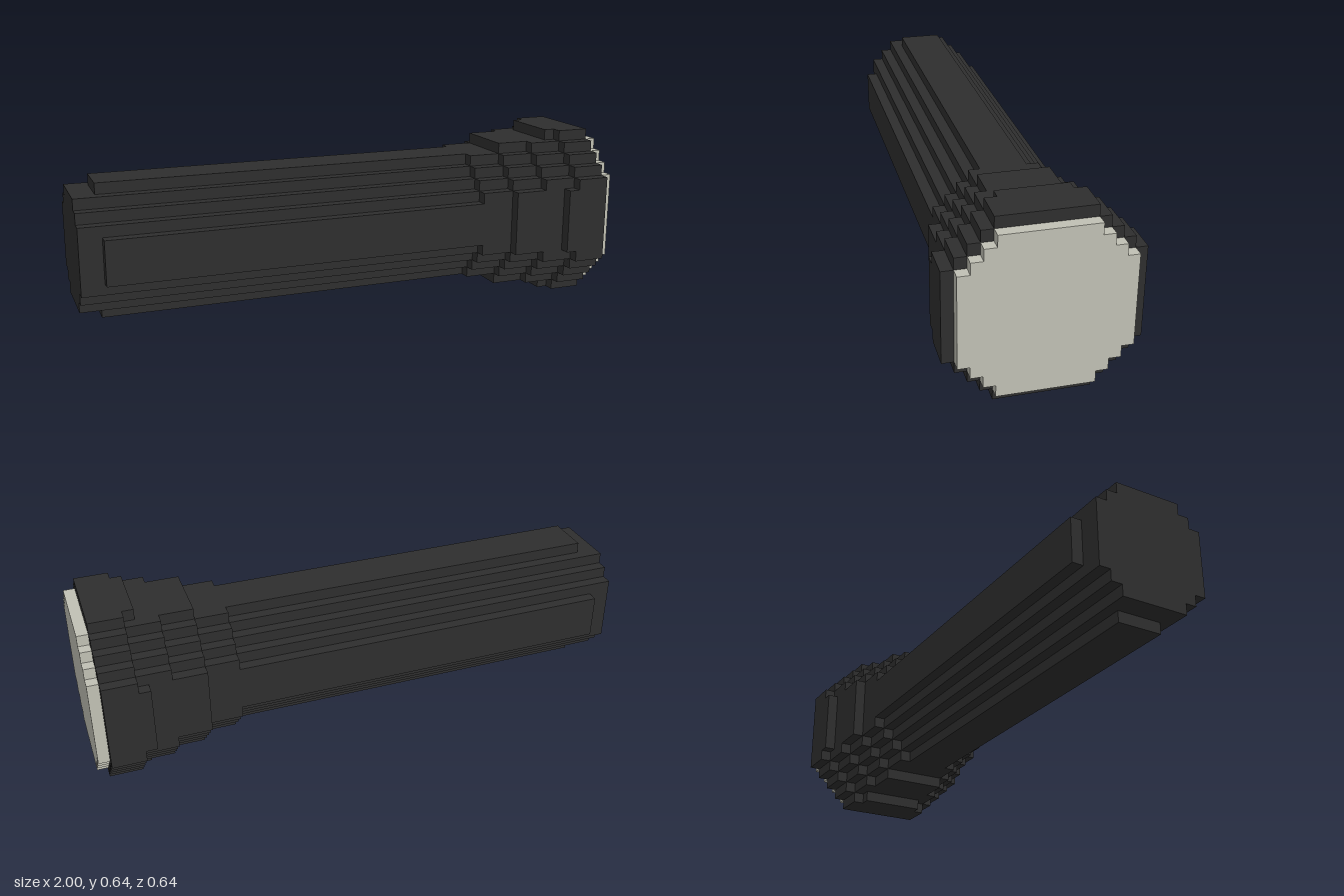
import * as THREE from 'three';

const STEP = 0.04;      // size of one stair step
const AXIS_Y = 0.32;    // height of the torch axis

// Stepped round outline: flat sides at distance r, each 2h wide
function steppedOutline(r, h) {
  const quarter = [[r, h]];
  const n = Math.round((r - h) / STEP);
  for (let i = 1; i <= n; i++) {
    quarter.push([r - i * STEP, h + (i - 1) * STEP], [r - i * STEP, h + i * STEP]);
  }
  const points = [];
  for (let q = 0; q < 4; q++) {
    for (const [x, y] of quarter) {
      points.push(new THREE.Vector2(x, y).rotateAround(new THREE.Vector2(), q * Math.PI / 2));
    }
  }
  return new THREE.Shape(points);
}

// One straight section running along x
function section(name, x0, x1, r, h, material) {
  const geometry = new THREE.ExtrudeGeometry(steppedOutline(r, h), { depth: x1 - x0, bevelEnabled: false });
  geometry.rotateY(Math.PI / 2);
  const mesh = new THREE.Mesh(geometry, material);
  mesh.name = name;
  mesh.position.set(x0, AXIS_Y, 0);
  return mesh;
}

export function createModel() {
  const casing = new THREE.MeshStandardMaterial({ color: 0x2e2e2e });
  casing.name = 'black casing';
  const glass = new THREE.MeshStandardMaterial({ color: 0xc0c0b4 });
  glass.name = 'pale lens';

  const torch = new THREE.Group();
  torch.name = 'flashlight';

  // Name, start x, end x, radius, half width of the flat side, material
  const parts = [
    ['tailCap', -1, -0.92, 0.2, 0.12, casing],
    ['handle', -0.92, 0.48, 0.24, 0.08, casing],
    ['neck', 0.48, 0.6, 0.24, 0.12, casing],
    ['lowerFlare', 0.6, 0.72, 0.28, 0.12, casing],
    ['upperFlare', 0.72, 0.8, 0.28, 0.16, casing],
    ['headCollar', 0.8, 0.84, 0.32, 0.12, casing],
    ['headRim', 0.84, 0.96, 0.32, 0.16, casing],
    ['lens', 0.96, 1, 0.28, 0.16, glass],
  ];
  for (const part of parts) torch.add(section(...part));
  return torch;
}
